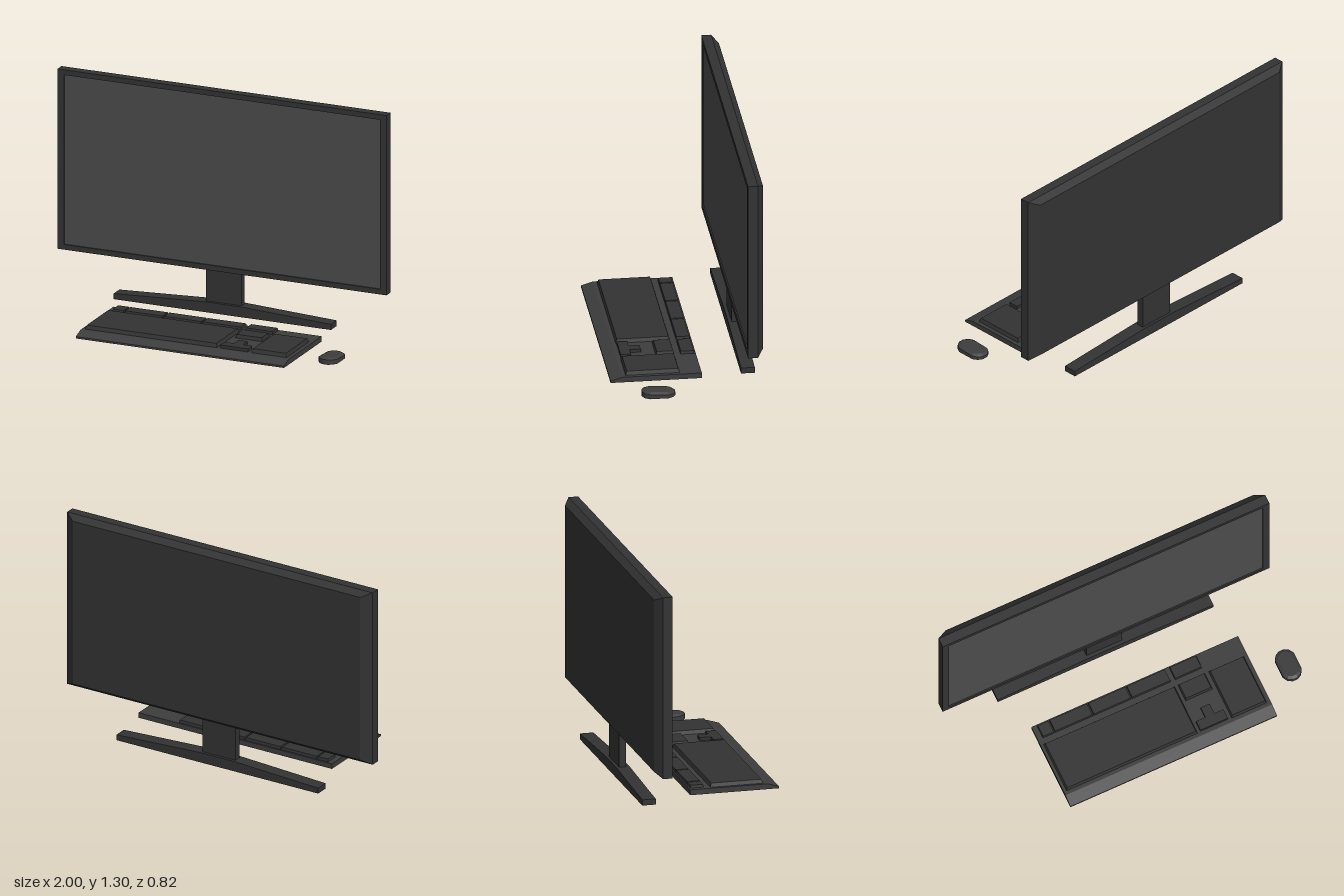
import * as THREE from 'three';

const mat = (color) => new THREE.MeshStandardMaterial({ color, flatShading: true });

export function createModel() {
  const model = new THREE.Group();
  const dark = mat(0x333333);
  const casing = mat(0x3d3d3d);
  const glass = mat(0x4c4c4c);

  const add = (parent, name, geometry, material) => {
    const mesh = new THREE.Mesh(geometry, material);
    mesh.name = name;
    parent.add(mesh);
    return mesh;
  };
  const group = (name) => {
    const g = new THREE.Group();
    g.name = name;
    model.add(g);
    return g;
  };
  // Box between two corners
  const block = (x0, x1, y0, y1, z0, z1) =>
    new THREE.BoxGeometry(x1 - x0, y1 - y0, z1 - z0)
      .translate((x0 + x1) / 2, (y0 + y1) / 2, (z0 + z1) / 2);
  const outline = (points) => new THREE.Shape(points.map(([x, y]) => new THREE.Vector2(x, y)));
  const extrude = (shape, depth) =>
    new THREE.ExtrudeGeometry(shape, { depth, bevelEnabled: false });

  // Monitor: bezel around a recessed screen, chamfered back
  const monitor = group('monitor');
  const bezel = outline([[-1, 0.25], [1, 0.25], [1, 1.3], [-1, 1.3]]);
  bezel.holes.push(new THREE.Path([[-0.96, 0.28], [-0.96, 1.27], [0.96, 1.27], [0.96, 0.28]]
    .map(([x, y]) => new THREE.Vector2(x, y))));
  add(monitor, 'bezel', extrude(bezel, 0.01).translate(0, 0, -0.33), dark);
  add(monitor, 'body', block(-1, 1, 0.25, 1.3, -0.375, -0.33), dark);
  add(monitor, 'screen', block(-0.96, 0.96, 0.28, 1.27, -0.335, -0.328), glass);
  const back = block(-1, 1, 0.25, 1.3, -0.411, -0.375);
  const bp = back.attributes.position;
  for (let i = 0; i < bp.count; i++) {
    if (bp.getZ(i) > -0.4) continue;
    bp.setX(i, bp.getX(i) * 0.94);
    bp.setY(i, bp.getY(i) > 0.7 ? 1.272 : 0.278);
  }
  add(monitor, 'backCover', back, dark);

  // Stand: neck on a wide foot that thins toward its ends
  const stand = group('stand');
  add(stand, 'neck', block(-0.108, 0.108, 0.04, 0.26, -0.385, -0.345), dark);
  const foot = outline([[-0.66, 0], [0.66, 0], [0.66, 0.033], [0.11, 0.06], [-0.11, 0.06], [-0.66, 0.033]]);
  add(stand, 'foot', extrude(foot, 0.077).translate(0, 0, -0.402), dark);

  // Keyboard case: side profile in (z, y), swept along x
  const keyboard = group('keyboard');
  const side = outline([[-0.41, 0.007], [0.1, 0.007], [0.1, 0.038], [-0.345, 0.038], [-0.41, 0.018]]);
  add(keyboard, 'case', extrude(side, 1.265).rotateY(Math.PI / 2).translate(-0.56, 0, 0), casing);

  // Key blocks with slightly drawn-in tops
  const keys = (name, x0, x1, z0, z1, top, inset = 0.008) => {
    const g = block(x0, x1, 0.03, top, z0, z1);
    const p = g.attributes.position;
    for (let i = 0; i < p.count; i++) {
      if (p.getY(i) < 0.04) continue;
      p.setX(i, p.getX(i) + (p.getX(i) > (x0 + x1) / 2 ? -inset : inset));
      p.setZ(i, p.getZ(i) + (p.getZ(i) > (z0 + z1) / 2 ? -inset : inset));
    }
    add(keyboard, name, g, dark);
  };
  keys('mainKeys', -0.545, 0.262, 0.018, 0.326, 0.06, 0.01);
  keys('numberPad', 0.465, 0.685, 0.018, 0.326, 0.06, 0.01);
  [[-0.53, -0.459], [-0.457, -0.222], [-0.22, 0.013], [0.015, 0.255], [0.278, 0.446]]
    .forEach(([x0, x1]) => keys('functionKeys', x0, x1, -0.093, -0.013, 0.054, 0.004));
  keys('navigationKeys', 0.278, 0.446, 0.018, 0.125, 0.058);

  // Arrow keys: one inverted T block
  const arrows = outline([[0.278, -0.32], [0.446, -0.32], [0.446, -0.262], [0.39, -0.262],
    [0.39, -0.2], [0.335, -0.2], [0.335, -0.262], [0.278, -0.262]]);
  add(keyboard, 'arrowKeys', extrude(arrows, 0.022).rotateX(-Math.PI / 2).translate(0, 0.034, 0), dark);

  // Mouse: twelve-sided lathe stretched lengthwise, top sloping to the front
  const profile = [[0, 0.007], [0.0595, 0.007], [0.0595, 0.03], [0.042, 0.04], [0, 0.04]]
    .map(([r, y]) => new THREE.Vector2(r, y));
  const mouse = new THREE.LatheGeometry(profile, 12, Math.PI / 12);
  const mp = mouse.attributes.position;
  for (let i = 0; i < mp.count; i++) {
    const z = mp.getZ(i);
    const stretched = Math.abs(z) < 1e-6 ? 0 : z + Math.sign(z) * 0.036;
    mp.setZ(i, stretched);
    if (mp.getY(i) > 0.02) mp.setY(i, mp.getY(i) + stretched * 0.06);
  }
  add(model, 'mouse', mouse, casing).position.set(0.887, 0, 0.167);

  return model;
}
